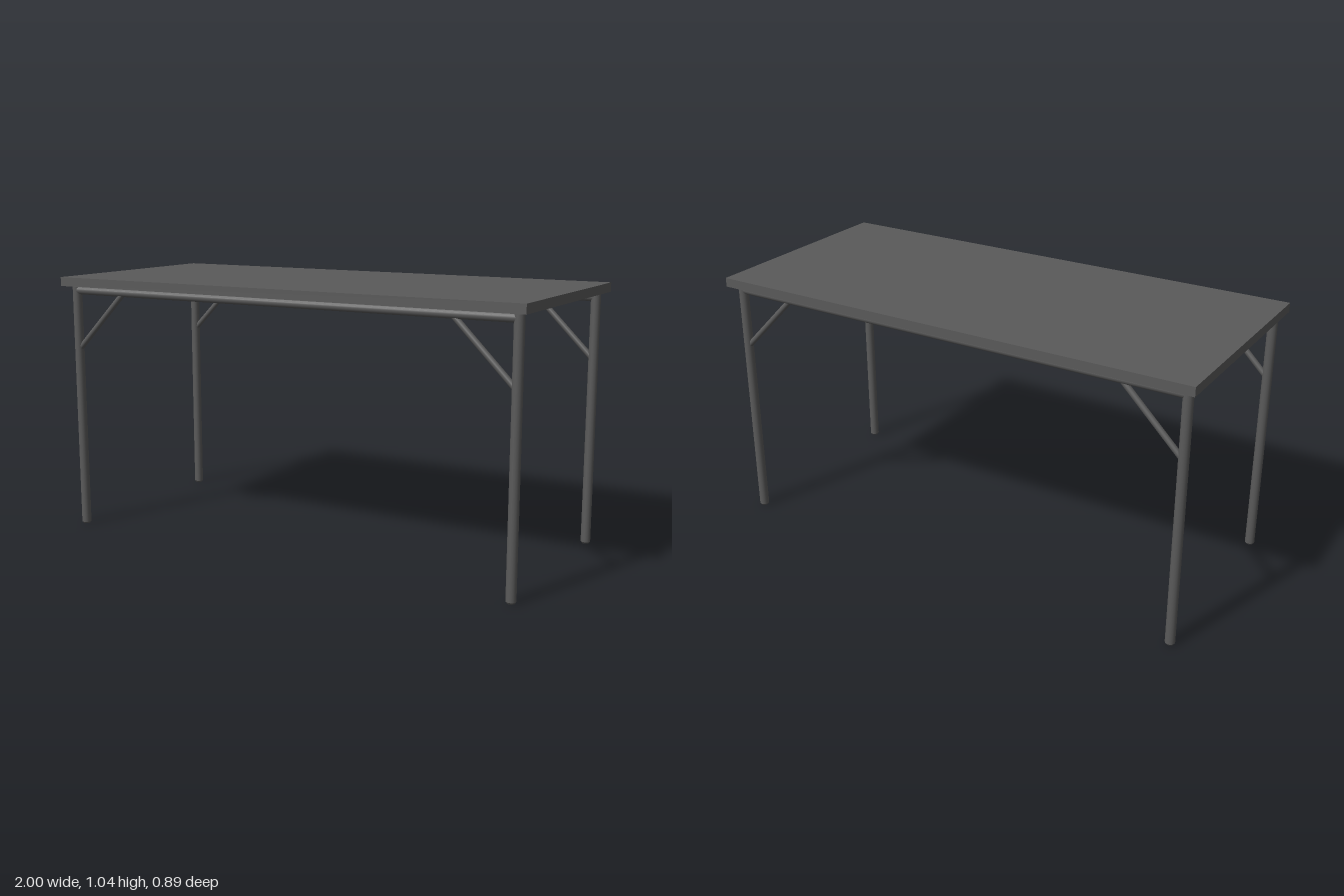
import * as THREE from 'three';

export function createModel() {
  const table = new THREE.Group();
  table.name = 'table';
  const grey = new THREE.MeshStandardMaterial({ color: 0x5a5a5a });
  grey.name = 'dark grey';

  const add = (name, geometry, x, y, z) => {
    const mesh = new THREE.Mesh(geometry, grey);
    mesh.name = name;
    mesh.position.set(x, y, z);
    table.add(mesh);
    return mesh;
  };

  const legX = 0.958, legZ = 0.397, legR = 0.019;
  const topBottom = 1.004, topHeight = 0.036;
  const railY = 0.986, railR = 0.017;

  // Flat slab top
  add('tableTop', new THREE.BoxGeometry(2, topHeight, 0.894), 0, topBottom + topHeight / 2, 0);

  // Round leg with a small chamfer at the foot; doubled points keep edges crisp
  const legProfile = [
    [0, 0], [0.014, 0], [0.014, 0], [legR, 0.007], [legR, 0.007], [legR, topBottom],
  ].map(([r, y]) => new THREE.Vector2(r, y));
  const legGeometry = new THREE.LatheGeometry(legProfile, 16);

  // Brace runs at 45 degrees from leg to rail
  const braceLow = new THREE.Vector2(legX - 0.004, 0.746);
  const braceHigh = new THREE.Vector2(0.716, 0.984);
  const braceMid = braceLow.clone().add(braceHigh).multiplyScalar(0.5);
  const braceDir = braceHigh.clone().sub(braceLow);
  const braceGeometry = new THREE.CylinderGeometry(0.0115, 0.0115, braceDir.length(), 16);
  const braceTilt = Math.atan2(-braceDir.x, braceDir.y);

  const railGeometry = new THREE.CylinderGeometry(railR, railR, legX * 2, 16);

  for (const [depth, sz] of [['front', 1], ['back', -1]]) {
    // Long rail under the top
    add(depth + 'Rail', railGeometry, 0, railY, sz * legZ).rotation.z = Math.PI / 2;

    for (const [side, sx] of [['Left', 1], ['Right', -1]]) {
      add(depth + side + 'Leg', legGeometry, sx * legX, 0, sz * legZ);
      add(depth + side + 'Brace', braceGeometry, sx * braceMid.x, braceMid.y, sz * legZ)
        .rotation.z = sx * braceTilt;
    }
  }
  return table;
}
